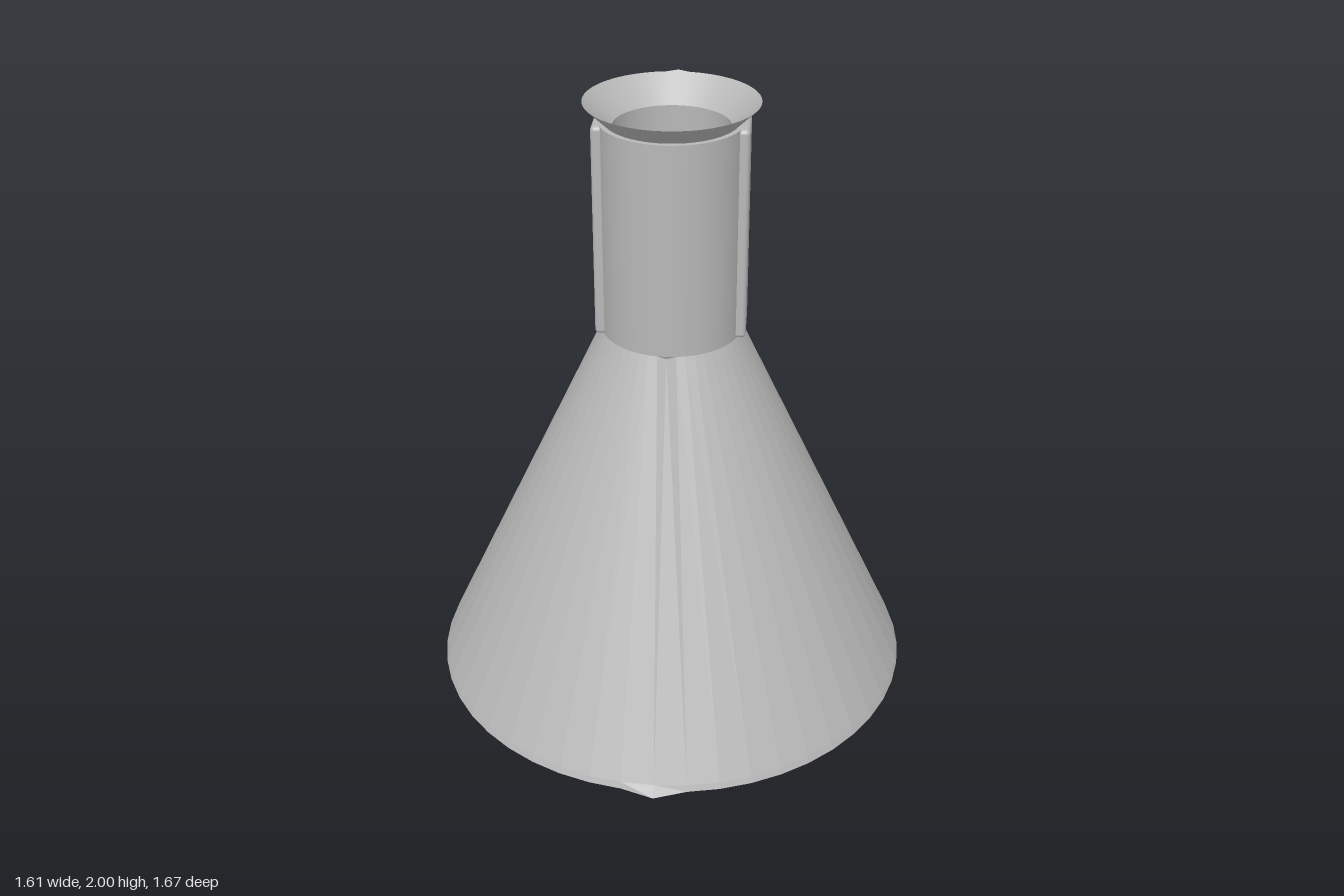
import * as THREE from 'three';
import { RoundedBoxGeometry } from 'three/addons/geometries/RoundedBoxGeometry.js';

const SEGMENTS = 48;

export function createModel() {
  const group = new THREE.Group();
  const grey = new THREE.MeshStandardMaterial({ color: 0xb8b8b8 });
  grey.name = 'plain grey';

  const add = (name, geometry) => {
    const mesh = new THREE.Mesh(geometry, grey);
    mesh.name = name;
    group.add(mesh);
    return mesh;
  };

  const lathe = (points) =>
    new THREE.LatheGeometry(points.map(([r, y]) => new THREE.Vector2(r, y)), SEGMENTS);

  // Pulls the centre-line vertex of one ring out to a small pointed lip
  const pullTip = (geometry, y, side, radius) => {
    const p = geometry.attributes.position;
    for (let i = 0; i < p.count; i++) {
      const onLine = Math.abs(p.getX(i)) < 1e-4 && p.getZ(i) * side > 0.1;
      if (onLine && Math.abs(p.getY(i) - y) < 1e-4) p.setZ(i, side * radius);
    }
    return geometry;
  };

  // Faceted surface: every triangle gets its own normal
  const faceted = (geometry) => {
    const flat = geometry.toNonIndexed();
    flat.computeVertexNormals();
    return flat;
  };

  // Conical body and base disc, with pointed lips at front and back
  const body = lathe([[0.805, 0], [0.797, 0.02], [0.225, 1.25]]);
  const base = lathe([[0, 0], [0.805, 0]]);
  for (const side of [1, -1]) {
    pullTip(body, 0, side, 0.835);
    pullTip(base, 0, side, 0.835);
  }
  pullTip(body, 1.25, 1, 0.238);
  add('body', faceted(body));
  add('base', base);

  // Straight neck
  add('neck', lathe([[0.225, 1.25], [0.225, 1.94]]));

  // Flared rim, outside and inside, with a small lip at the back
  const rimOuter = lathe([[0.225, 1.94], [0.208, 1.94], [0.27, 2]]);
  const rimInner = lathe([[0.27, 2], [0.182, 1.92]]);
  for (const rim of [rimOuter, rimInner]) pullTip(rim, 2, -1, 0.288);
  add('rimOuter', faceted(rimOuter));
  add('rimInner', rimInner);

  // Hollow inside
  add('neckInside', lathe([[0.182, 1.92], [0.182, 1.24]]));
  add('bodyInside', lathe([[0.182, 1.24], [0.73, 0.05]]));
  add('floor', lathe([[0.73, 0.05], [0, 0.05]]));

  // Rounded grip plates on both sides of the neck
  for (const side of [1, -1]) {
    const plate = add(side > 0 ? 'leftPlate' : 'rightPlate',
      new RoundedBoxGeometry(0.04, 0.69, 0.174, 3, 0.014));
    plate.position.set(side * 0.219, 1.595, 0);
  }

  return group;
}
